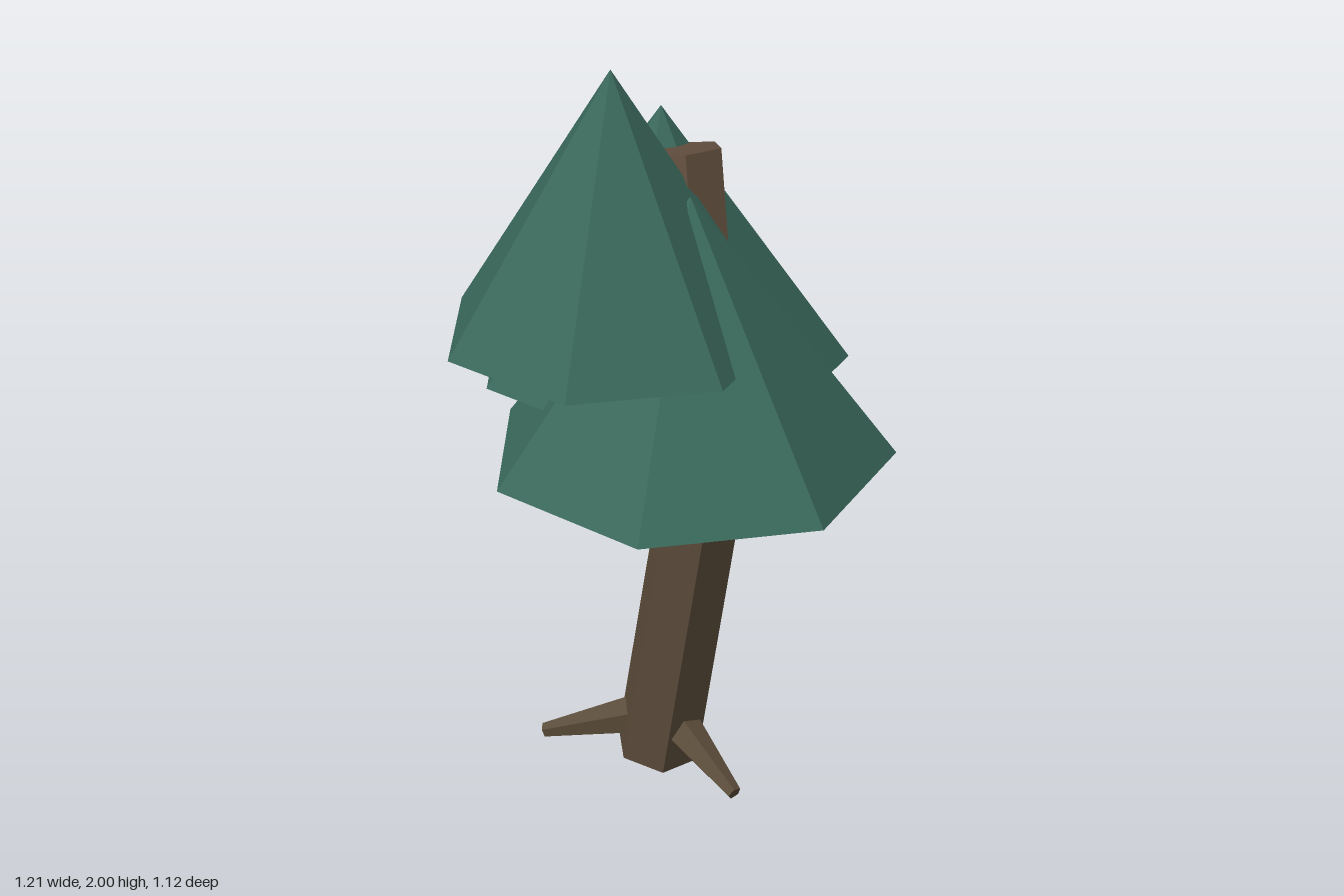
import * as THREE from 'three';

export function createModel() {
  const tree = new THREE.Group();
  tree.name = 'pineTree';

  const material = (name, color) => {
    const m = new THREE.MeshStandardMaterial({ color, flatShading: true });
    m.name = name;
    return m;
  };
  const needles = material('pine green', 0x3a685b);
  const bark = material('bark brown', 0x5b4c3a);
  const upperBark = material('warm bark brown', 0x634f40);

  // Tapered limb running from one point to another
  const limb = (name, from, to, r0, r1, sides, mat) => {
    const a = new THREE.Vector3(...from), b = new THREE.Vector3(...to);
    const dir = b.clone().sub(a);
    const mesh = new THREE.Mesh(new THREE.CylinderGeometry(r1, r0, dir.length(), sides), mat);
    mesh.name = name;
    mesh.position.copy(a).add(b).multiplyScalar(0.5);
    mesh.quaternion.setFromUnitVectors(new THREE.Vector3(0, 1, 0), dir.normalize());
    tree.add(mesh);
  };

  // Leaning trunk, bent at the foliage
  limb('trunk', [-0.06, 0.024, 0.007], [0.112, 0.973, -0.022], 0.118, 0.112, 6, bark);
  limb('upperTrunk', [0.1, 0.955, -0.025], [-0.07, 1.755, -0.075], 0.112, 0.112, 6, upperBark);

  // Roots
  const tips = [[0.27, 0.038, 0], [-0.29, 0.04, 0.228], [-0.21, 0.04, -0.25]];
  for (const tip of tips) limb('root', [-0.03, 0.155, 0], tip, 0.065, 0.02, 5, bark);

  // Off-centre foliage tiers: x, z, base height, radius, height
  const tiers = [
    [0.07, 0, 0.99, 0.53, 0.70],
    [-0.164, -0.088, 1.15, 0.49, 0.69],
    [-0.085, 0.125, 1.31, 0.445, 0.69],
  ];
  for (const [x, z, y, r, h] of tiers) {
    const cone = new THREE.Mesh(new THREE.ConeGeometry(r, h, 7, 1, false, Math.PI / 2), needles);
    cone.name = 'foliageTier';
    cone.position.set(x, y + h / 2, z);
    tree.add(cone);
  }
  return tree;
}
